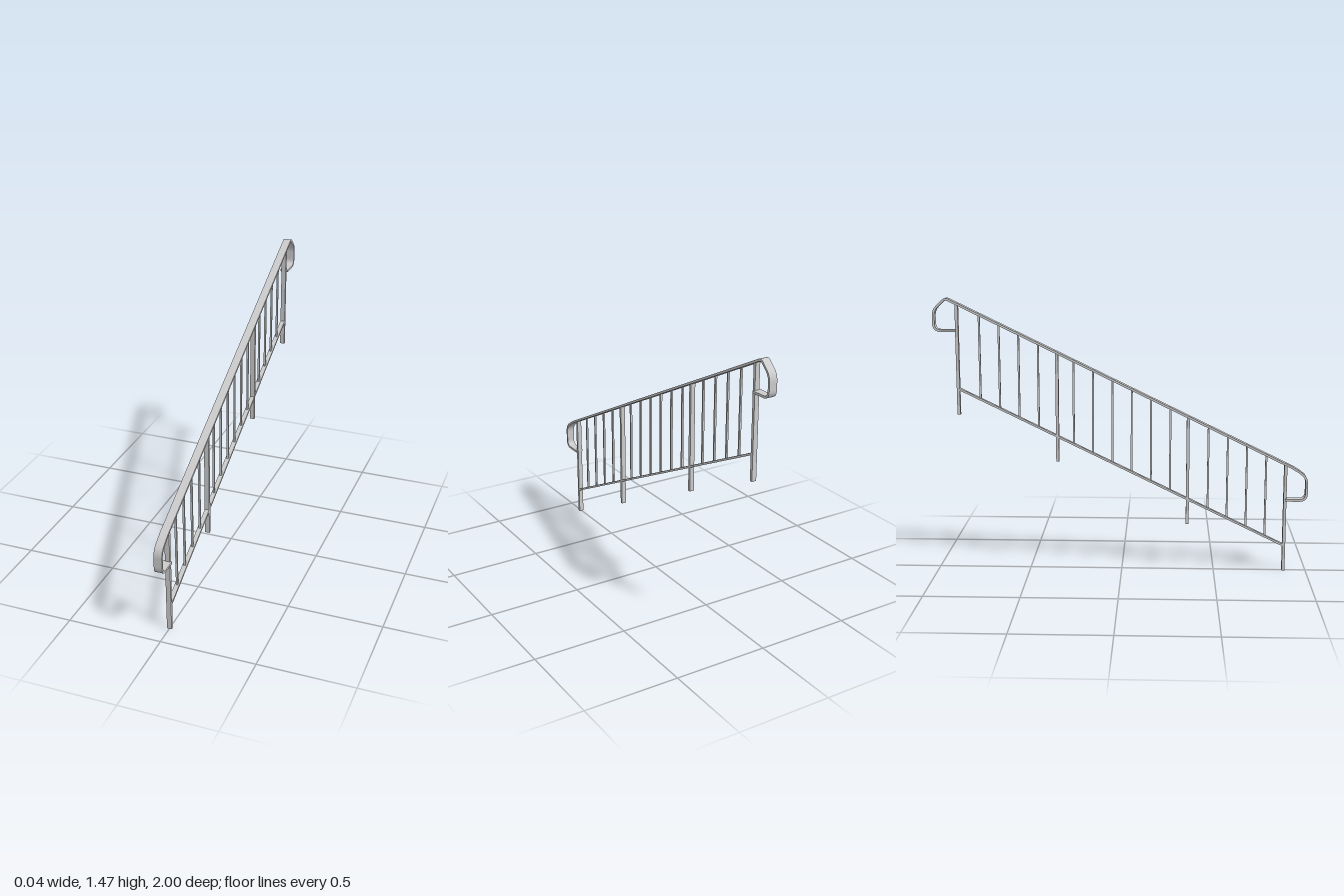
import * as THREE from 'three';

const SLOPE = 0.4865;
const topRailY = z => 1.021 - SLOPE * z;
const bottomRailY = z => 0.568 - SLOPE * z;
const material = new THREE.MeshStandardMaterial({ color: 0xcccccc });

// Rounds the inner corners of a polyline; each point is [z, y, radius]
function roundedPath(points) {
  const out = [];
  points.forEach(([z, y, r], i) => {
    const p = new THREE.Vector2(z, y);
    if (!r) { out.push(p); return; }
    const toward = j => new THREE.Vector2(points[j][0], points[j][1]).sub(p).setLength(r).add(p);
    out.push(...new THREE.QuadraticBezierCurve(toward(i - 1), p, toward(i + 1)).getPoints(8));
  });
  return out;
}

// Flat bar of the given thickness that follows a path in the z-y plane
function flatBar(name, path, thickness, width) {
  const side = s => path.map((p, i) => {
    const a = path[Math.max(i - 1, 0)], b = path[Math.min(i + 1, path.length - 1)];
    const t = b.clone().sub(a).normalize();
    return new THREE.Vector2(p.x - t.y * s, p.y + t.x * s);
  });
  const shape = new THREE.Shape([...side(thickness / 2), ...side(-thickness / 2).reverse()]);
  const geometry = new THREE.ExtrudeGeometry(shape, { depth: width, bevelEnabled: false });
  geometry.translate(0, 0, -width / 2).rotateY(-Math.PI / 2);
  const mesh = new THREE.Mesh(geometry, material);
  mesh.name = name;
  return mesh;
}

// Square upright between two heights
function upright(name, z, y0, y1, width, depth) {
  const mesh = new THREE.Mesh(new THREE.BoxGeometry(width, y1 - y0, depth), material);
  mesh.position.set(0, (y0 + y1) / 2, z);
  mesh.name = name;
  return mesh;
}

export function createModel() {
  const model = new THREE.Group();
  model.name = 'stairRailing';

  // Handrail with a returned loop at each end
  model.add(flatBar('handrail', roundedPath([
    [0.88, 0.396], [0.994, 0.396, 0.04], [0.994, 0.522, 0.035], [0.93, topRailY(0.93), 0.035],
    [-0.93, topRailY(-0.93), 0.018], [-0.994, 1.412, 0.03], [-0.994, 1.303, 0.04], [-0.875, 1.303],
  ]), 0.012, 0.043));

  // Sloping lower rail
  model.add(flatBar('lowerRail', [0.878, -0.873].map(z => new THREE.Vector2(z, bottomRailY(z))), 0.011, 0.024));

  // Posts, reaching below the lower rail
  const posts = [[0.88, 0], [0.355, 0.257], [-0.345, 0.6], [-0.873, 0.852]];
  for (const [z, foot] of posts) model.add(upright('post', z, foot, topRailY(z), 0.025, 0.016));

  // Balusters in three bays: first position and count
  for (const [start, count] of [[0.775, 4], [0.26, 6], [-0.445, 4]]) {
    for (let i = 0; i < count; i++) {
      const z = start - i * 0.1035;
      model.add(upright('baluster', z, bottomRailY(z), topRailY(z), 0.01, 0.01));
    }
  }
  return model;
}
